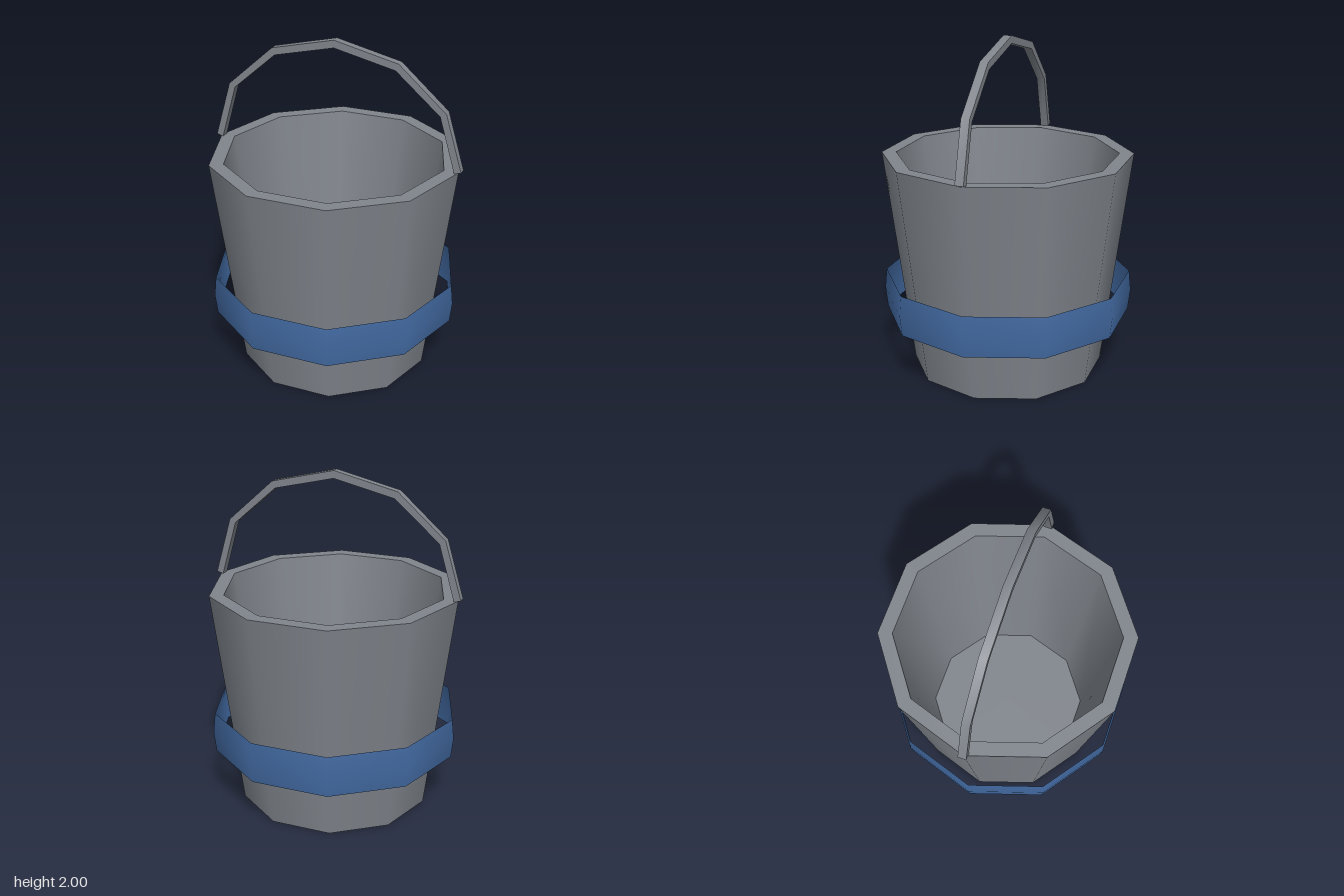
import * as THREE from 'three';
import { toCreasedNormals } from 'three/addons/utils/BufferGeometryUtils.js';

const SIDES = 10;

export function createModel() {
  const group = new THREE.Group();
  group.name = 'bucket';

  const grey = new THREE.MeshStandardMaterial({ name: 'metalGrey', color: 0x80858c, side: THREE.DoubleSide });
  const blue = new THREE.MeshStandardMaterial({ name: 'bandBlue', color: 0x41689f, side: THREE.DoubleSide });

  function add(name, geometry, material, parent = group) {
    const mesh = new THREE.Mesh(geometry, material);
    mesh.name = name;
    parent.add(mesh);
  }

  // Ten-sided surface of revolution with corners on the x axis
  function ring(profile) {
    const points = profile.map(([r, y]) => new THREE.Vector2(r, y));
    return new THREE.LatheGeometry(points, SIDES, Math.PI / 2);
  }

  // Body: separate surfaces keep the rim and floor edges sharp
  const body = new THREE.Group();
  body.name = 'body';
  group.add(body);
  add('outerWall', ring([[0.575, 0], [0.74, 1.315]]), grey, body);
  add('rim', ring([[0.74, 1.315], [0.655, 1.315]]), grey, body);
  add('innerWall', ring([[0.655, 1.315], [0.49, 0.11]]), grey, body);
  add('floor', ring([[0.49, 0.11], [0, 0.11]]), grey, body);

  // Loose band, slightly bulged at mid height
  add('band', ring([[0.737, 0.335], [0.75, 0.457], [0.737, 0.58]]), blue);

  // Handle: faceted arch of square section, mirrored about x = 0
  const outer = [[0.76, 1.325], [0.66, 1.66], [0.38, 1.91]];
  const inner = [[0.72, 1.315], [0.625, 1.64], [0.362, 1.87]];
  const mirror = (pts) => pts.map(([x, y]) => [-x, y]).reverse();
  const outline = [
    ...outer, [0, 2], ...mirror(outer),
    ...mirror(inner).reverse(), [0, 1.955], ...inner.slice().reverse(),
  ].map(([x, y]) => new THREE.Vector2(x, y));
  const arch = new THREE.ExtrudeGeometry(new THREE.Shape(outline), { depth: 0.05, bevelEnabled: false });
  arch.translate(0, 0, -0.025);
  add('handle', toCreasedNormals(arch, 0.8), grey);

  return group;
}
